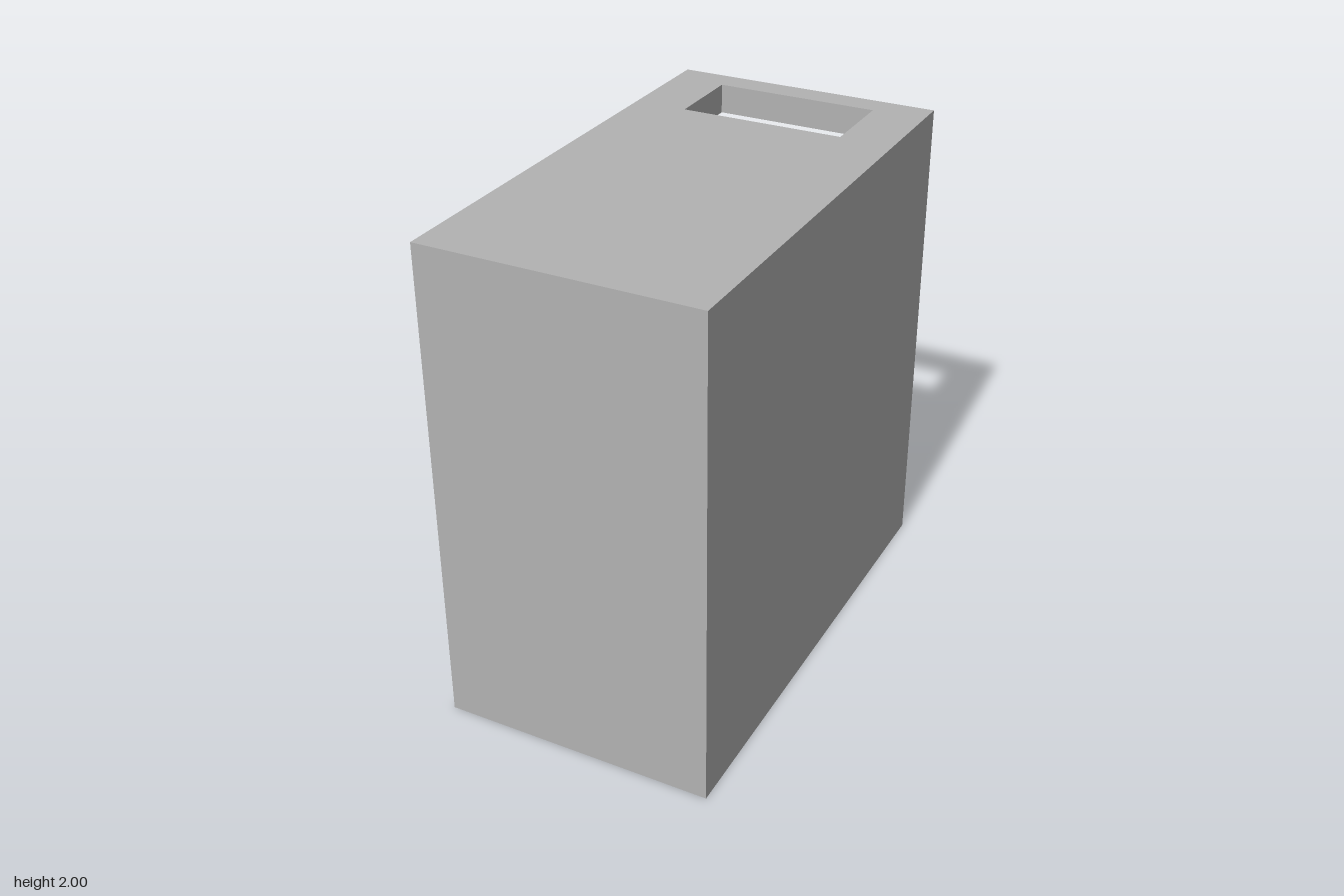
import * as THREE from 'three';

const W = 0.555, T = 0.12, IN = W - T; // half width, wall thickness, half inner width
const grey = new THREE.MeshStandardMaterial({ color: 0xb3b3b3 });
grey.name = 'grey';

// Box given by its lower and upper limits
function box(name, x0, x1, y0, y1, z0, z1) {
  const g = new THREE.BoxGeometry(x1 - x0, y1 - y0, z1 - z0);
  g.translate((x0 + x1) / 2, (y0 + y1) / 2, (z0 + z1) / 2);
  const m = new THREE.Mesh(g, grey);
  m.name = name;
  return m;
}

const polygon = (pts) => pts.map(([x, y]) => new THREE.Vector2(x, y));
const rect = (x0, x1, y0, y1) => polygon([[x0, y0], [x1, y0], [x1, y1], [x0, y1]]);

export function createModel() {
  const model = new THREE.Group();
  model.name = 'housing';

  // Outer walls, open at the back
  model.add(box('bottomWall', -W, W, 0, T, -1, 1));
  model.add(box('leftWall', IN, W, T, 2 - T, -1, 1));
  model.add(box('rightWall', -W, -IN, T, 2 - T, -1, 1));

  // Top wall with a slot near the back (shape y becomes -z)
  const top = new THREE.Shape(rect(-W, W, -1, 1));
  top.holes.push(new THREE.Path(rect(-0.337, 0.337, 0.555, 0.89)));
  const topGeo = new THREE.ExtrudeGeometry(top, { depth: T, bevelEnabled: false });
  topGeo.rotateX(-Math.PI / 2).translate(0, 2 - T, 0);
  const topWall = new THREE.Mesh(topGeo, grey);
  topWall.name = 'topWall';
  model.add(topWall);

  // Solid core reaching to the front face
  model.add(box('core', -IN, IN, T, 2 - T, -0.5, 1));

  // Recessed back panel with a side notch and a recess under the top slot
  const panel = new THREE.Shape(polygon([
    [-IN, T], [IN, T], [IN, 2 - T], [0.41, 2 - T], [0.41, 1.655], [-IN, 1.655],
    [-IN, 1.18], [0.036, 1.18], [0.036, 0.79], [-IN, 0.79],
  ]));
  const panelGeo = new THREE.ExtrudeGeometry(panel, { depth: 0.39, bevelEnabled: false });
  panelGeo.translate(0, 0, -0.89);
  const backPanel = new THREE.Mesh(panelGeo, grey);
  backPanel.name = 'backPanel';
  model.add(backPanel);

  return model;
}
